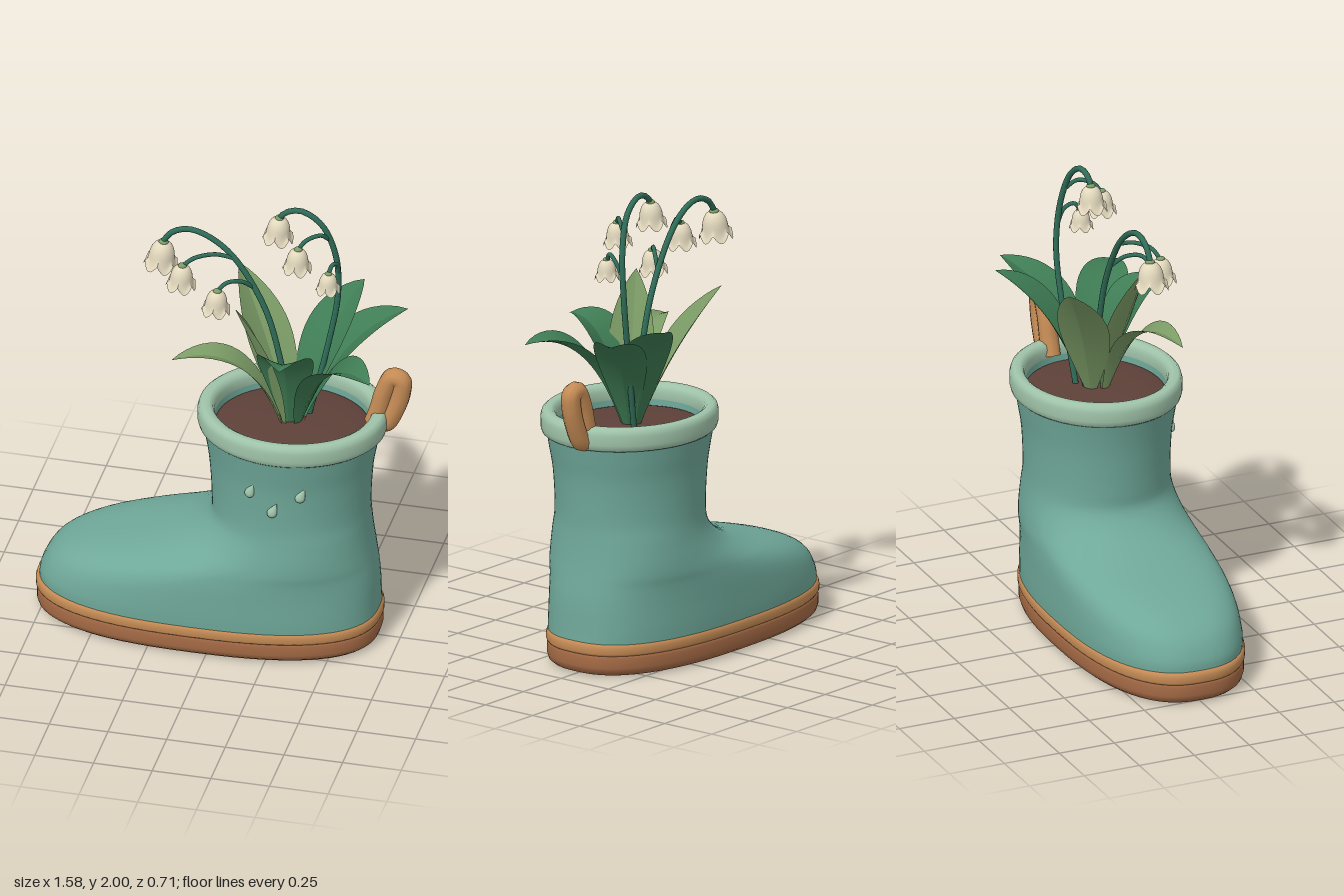
import * as THREE from 'three';

const V = (x, y, z) => new THREE.Vector3(x, y, z);
const mat = (name, color, double = false) => {
  const m = new THREE.MeshStandardMaterial({ color });
  m.name = name;
  if (double) m.side = THREE.DoubleSide;
  return m;
};

// Lofts horizontal superellipse rings: rows of [y, xMin, xMax, halfDepth, exponent]
function loft(rows, seg = 72) {
  const pos = [], idx = [];
  rows.forEach(([y, x0, x1, hz, n]) => {
    for (let j = 0; j < seg; j++) {
      const a = (j / seg) * Math.PI * 2, c = Math.cos(a), s = Math.sin(a);
      const p = (v) => Math.sign(v) * Math.abs(v) ** (2 / n);
      pos.push((x0 + x1) / 2 + ((x1 - x0) / 2) * p(c), y, 0.005 + hz * p(s));
    }
  });
  for (let r = 0; r < rows.length - 1; r++) {
    for (let j = 0; j < seg; j++) {
      const k = (j + 1) % seg, a = r * seg + j, b = r * seg + k;
      idx.push(a, a + seg, b, b, a + seg, b + seg);
    }
  }
  return finish(pos, idx);
}

function finish(pos, idx) {
  const g = new THREE.BufferGeometry();
  g.setAttribute('position', new THREE.Float32BufferAttribute(pos, 3));
  g.setIndex(idx);
  g.computeVertexNormals();
  return g;
}

// Pointed leaf along an arching curve, folded in a V at the midrib
function leafGeometry(base, ctrl, tip, halfWidth) {
  const curve = new THREE.QuadraticBezierCurve3(base, ctrl, tip);
  const side = V(tip.z - base.z, 0, base.x - tip.x).normalize();
  const cols = [-1, -0.5, 0, 0, 0.5, 1], n = 18, pos = [], idx = [];
  for (let i = 0; i <= n; i++) {
    const t = i / n, p = curve.getPoint(t);
    const up = curve.getTangent(t).cross(side).normalize();
    const w = halfWidth * Math.max(0, Math.sin(Math.PI * t ** 1.15)) ** 0.85 + 0.018 * (1 - t);
    cols.forEach((s) => {
      const q = p.clone().addScaledVector(side, s * w).addScaledVector(up, 0.35 * w * Math.abs(s) ** 1.3);
      pos.push(q.x, q.y, q.z);
    });
  }
  for (let i = 0; i < n; i++) {
    for (const j of [0, 1, 3, 4]) {
      const a = i * 6 + j;
      idx.push(a, a + 1, a + 6, a + 1, a + 7, a + 6);
    }
  }
  return finish(pos, idx);
}

// Bell flower of unit radius with a scalloped, flared rim
function bellGeometry() {
  const profile = [[0.02, 1.05], [0.3, 1], [0.55, 0.82], [0.72, 0.5], [0.8, 0.15], [0.84, -0.2], [0.92, -0.55], [1.08, -0.85]];
  const curve = new THREE.SplineCurve(profile.map(([x, y]) => new THREE.Vector2(x, y)));
  const g = new THREE.LatheGeometry(curve.getPoints(18).reverse(), 48);
  const p = g.attributes.position;
  for (let i = 0; i < p.count; i++) {
    const a = Math.atan2(p.getZ(i), p.getX(i)), y = p.getY(i);
    const w = Math.max(0, (0.1 - y) / 0.95);
    p.setY(i, y + w * 0.55 * (1 - Math.abs(Math.cos(3 * a))));
  }
  g.computeVertexNormals();
  return g;
}

export function createModel() {
  const model = new THREE.Group();
  const M = {
    boot: mat('teal rubber', 0x6fa899, true),
    cuff: mat('pale mint', 0xa0c4aa),
    welt: mat('light tan', 0xc68c55),
    sole: mat('brown tan', 0xa46a45),
    soil: mat('soil brown', 0x5e4139),
    leafDark: mat('deep leaf green', 0x3f7d55, true),
    leafLight: mat('olive leaf green', 0x7b9c66, true),
    stem: mat('stem green', 0x2f6c58),
    petal: mat('cream petal', 0xe2d8bd, true),
    stamen: mat('stamen yellow', 0xc9a55a),
  };
  const add = (name, geo, material, parent = model) => {
    const m = new THREE.Mesh(geo, material);
    m.name = name;
    parent.add(m);
    return m;
  };
  const tube = (name, pts, r, material, seg = 40) => add(name,
    new THREE.TubeGeometry(new THREE.CatmullRomCurve3(pts.map((p) => V(...p))), seg, r, 10), material);

  // Boot upper: [y, toe x, heel x, half depth, exponent]
  const keys = [
    [0.13, -0.775, 0.663, 0.343, 2.5], [0.19, -0.768, 0.66, 0.345, 2.5], [0.27, -0.72, 0.657, 0.344, 2.45],
    [0.328, -0.627, 0.652, 0.342, 2.4], [0.375, -0.484, 0.645, 0.338, 2.35], [0.418, -0.31, 0.638, 0.333, 2.3],
    [0.476, -0.15, 0.63, 0.322, 2.2], [0.56, -0.052, 0.622, 0.307, 2.1], [0.65, -0.045, 0.62, 0.3, 2],
    [0.81, -0.055, 0.63, 0.305, 2], [0.915, -0.07, 0.648, 0.32, 2], [1.01, -0.09, 0.665, 0.335, 2],
  ];
  const track = (i, j) => new THREE.CatmullRomCurve3(keys.map((k) => V(k[0], k[i], k[j])), false, 'catmullrom', 0.5);
  const ends = track(1, 2), depth = track(3, 4), rows = [];
  for (let i = 0; i <= 44; i++) {
    const e = ends.getPoint(i / 44), d = depth.getPoint(i / 44);
    rows.push([e.x, e.y, e.z, d.y, d.z]);
  }
  add('bootUpper', loft(rows), M.boot);

  // Sole and welt: rounded slabs from [y, inset]
  const slab = (list) => loft(list.map(([y, d]) => [y, -0.79 + d, 0.672 - d, Math.max(0.35 - d, 0.001), 2.5]));
  add('sole', slab([[0, 0.349], [0, 0.045], [0, 0.045], [0.006, 0.026], [0.02, 0.01], [0.04, 0.004], [0.08, 0.004], [0.095, 0.01], [0.095, 0.04]]), M.sole);
  add('welt', slab([[0.09, 0.03], [0.092, 0.006], [0.102, 0], [0.125, 0], [0.138, 0.004], [0.144, 0.012], [0.146, 0.03]]), M.welt);

  // Rolled cuff, inner wall and soil, all slightly oval
  const oval = (mesh) => {
    mesh.scale.set(0.397, 1, 0.35);
    mesh.position.set(0.2925, 0, 0.005);
  };
  const ring = [[0.84, 0.99], [0.87, 0.978], [0.96, 0.976], [0.985, 0.984], [1, 1.005], [1, 1.045], [0.985, 1.065],
    [0.95, 1.076], [0.88, 1.076], [0.84, 1.066], [0.82, 1.045], [0.82, 1.01], [0.84, 0.99]];
  oval(add('cuff', new THREE.LatheGeometry(ring.map(([x, y]) => new THREE.Vector2(x, y)), 64), M.cuff));
  oval(add('innerWall', new THREE.CylinderGeometry(0.825, 0.81, 0.1, 64, 1, true).translate(0, 0.99, 0), M.boot));
  oval(add('soil', new THREE.SphereGeometry(0.82, 48, 8, 0, Math.PI * 2, 0, Math.PI / 2).scale(1, 0.03, 1).translate(0, 0.98, 0), M.soil));

  // Pull loop at the back of the cuff
  tube('pullLoop', [[0.625, 1.01, -0.048], [0.648, 1.08, -0.048], [0.672, 1.17, -0.048], [0.708, 1.238, -0.048],
    [0.742, 1.228, -0.048], [0.742, 1.17, -0.048], [0.715, 1.08, -0.048], [0.678, 1.015, -0.048], [0.65, 1.01, -0.048]], 0.041, M.welt, 60);

  // Raised water drops on the shaft
  const dropProfile = [[0, -0.028], [0.014, -0.024], [0.021, -0.01], [0.018, 0.006], [0.009, 0.026], [0, 0.046]];
  const dropGeo = new THREE.LatheGeometry(
    new THREE.SplineCurve(dropProfile.map(([x, y]) => new THREE.Vector2(x, y))).getPoints(16).map((p) => p.setX(Math.max(0, p.x))), 20);
  [[0.182, 0.81], [0.282, 0.735], [0.398, 0.815]].forEach(([x, y]) => {
    const u = (x - 0.288) / 0.34, d = add('waterDrop', dropGeo, M.cuff);
    d.position.set(x, y, 0.008 + 0.304 * Math.sqrt(1 - u * u));
    d.rotation.set(0, Math.asin(u), -0.4);
    d.scale.z = 0.75;
  });

  // Leaves: base, control, tip, half width, light?
  [
    [[0.25, 0.98, 0.03], [0.12, 1.44, 0.1], [-0.18, 1.33, 0.185], 0.07, true],
    [[0.27, 0.98, -0.03], [0.17, 1.3, -0.1], [0, 1.57, -0.25], 0.1, true],
    [[0.26, 0.98, 0.03], [0.19, 1.3, 0.08], [0.08, 1.59, 0.14], 0.085, true],
    [[0.28, 0.98, 0.03], [0.29, 1.45, 0.13], [0.31, 1.42, 0.31], 0.11, false],
    [[0.32, 0.98, 0.02], [0.45, 1.44, 0.1], [0.68, 1.375, 0.25], 0.1, false],
    [[0.33, 0.98, -0.02], [0.47, 1.41, -0.09], [0.725, 1.46, -0.235], 0.1, false],
    [[0.31, 0.98, -0.04], [0.39, 1.38, -0.15], [0.51, 1.5, -0.355], 0.1, false],
  ].forEach(([b, c, t, w, light]) =>
    add('leaf', leafGeometry(V(...b), V(...c), V(...t), w), light ? M.leafLight : M.leafDark));

  // Main stems and flower stalks
  tube('stem', [[0.28, 0.97, -0.01], [0.235, 1.28, -0.01], [0.165, 1.53, -0.01], [0.03, 1.76, -0.005], [-0.08, 1.845, 0],
    [-0.16, 1.862, 0], [-0.225, 1.835, 0], [-0.262, 1.785, 0]], 0.0125, M.stem);
  tube('stem', [[0.34, 0.97, -0.06], [0.42, 1.33, -0.09], [0.46, 1.58, -0.1], [0.452, 1.78, -0.085], [0.395, 1.93, -0.065],
    [0.31, 1.987, -0.055], [0.245, 1.97, -0.05], [0.22, 1.935, -0.05]], 0.0125, M.stem);
  tube('stalk', [[0.045, 1.745, -0.005], [-0.03, 1.775, 0.03], [-0.11, 1.772, 0.075], [-0.16, 1.735, 0.095]], 0.009, M.stem, 20);
  tube('stalk', [[0.12, 1.615, -0.008], [0.08, 1.665, 0.04], [0.03, 1.68, 0.09], [-0.005, 1.65, 0.12]], 0.009, M.stem, 20);
  tube('stalk', [[0.43, 1.85, -0.078], [0.4, 1.895, -0.03], [0.35, 1.89, 0.02], [0.322, 1.855, 0.045]], 0.009, M.stem, 20);
  tube('stalk', [[0.462, 1.68, -0.095], [0.468, 1.745, -0.06], [0.455, 1.765, -0.02], [0.443, 1.73, 0.005]], 0.009, M.stem, 20);

  // Hanging bell flowers: x, y, z, radius, lean
  const bell = bellGeometry();
  const calyx = new THREE.SphereGeometry(0.32, 14, 8).scale(1, 0.6, 1).translate(0, 1.02, 0);
  const clapper = new THREE.SphereGeometry(0.26, 12, 8).scale(1, 1.3, 1).translate(0, -0.1, 0);
  [
    [-0.267, 1.718, 0, 0.066, -0.12], [-0.16, 1.682, 0.095, 0.058, -0.08], [-0.005, 1.598, 0.12, 0.056, -0.08],
    [0.218, 1.882, -0.05, 0.06, -0.08], [0.322, 1.805, 0.045, 0.056, -0.06], [0.443, 1.688, 0.005, 0.047, -0.04],
  ].forEach(([x, y, z, r, lean]) => {
    const flower = new THREE.Group();
    flower.name = 'bellFlower';
    add('petals', bell, M.petal, flower);
    add('calyx', calyx, M.leafLight, flower);
    add('stamen', clapper, M.stamen, flower);
    flower.position.set(x, y, z);
    flower.scale.setScalar(r);
    flower.rotation.z = lean;
    model.add(flower);
  });
  return model;
}
